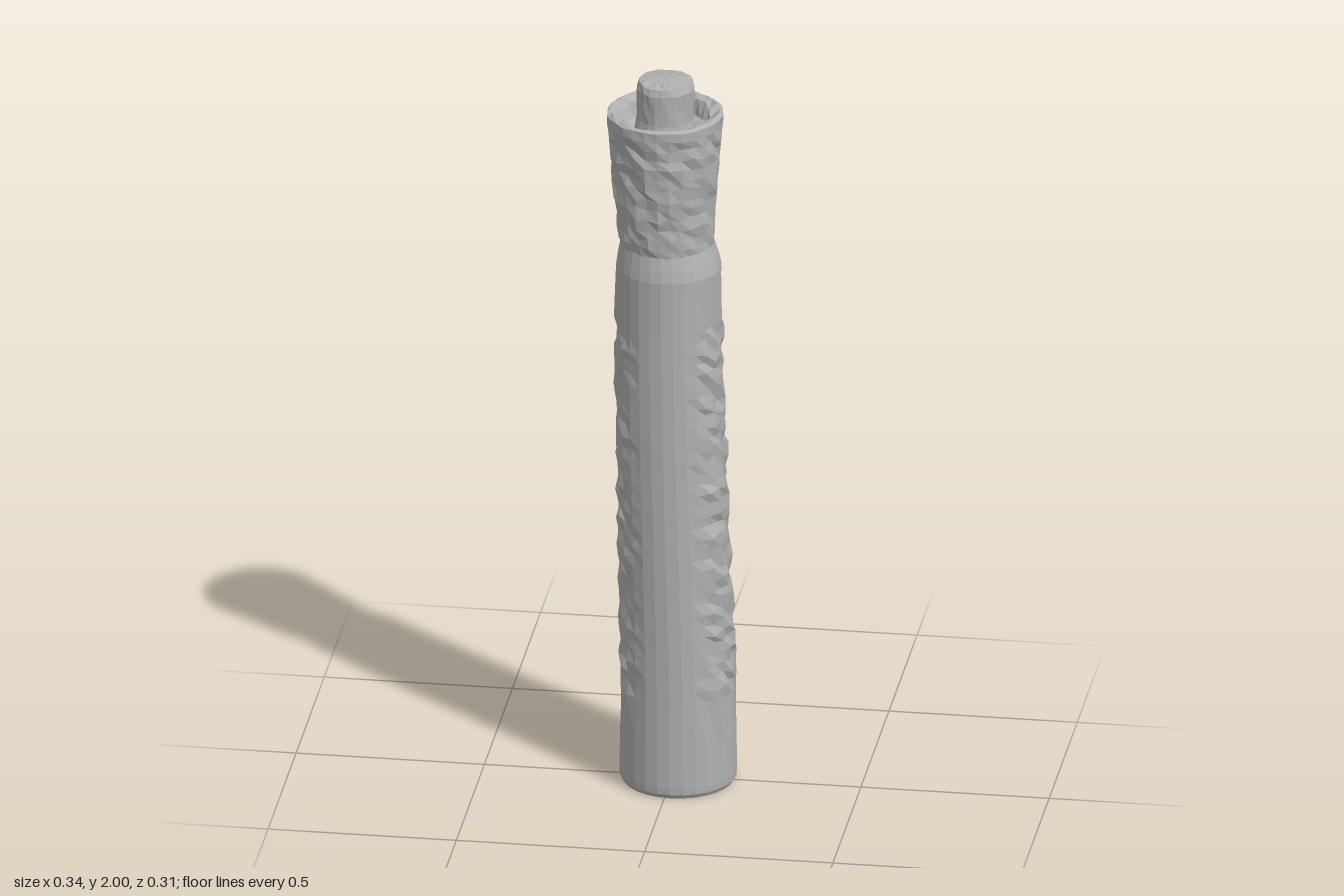
import * as THREE from 'three';

const SEGMENTS = 28;

// Repeatable value in -1..1 for a grid cell
function hash(a, b) {
  const s = Math.sin(a * 127.1 + b * 311.7) * 43758.5453;
  return 2 * (s - Math.floor(s)) - 1;
}

// The axis leans slightly from +x at the foot to -x at the top
const lean = (y) => 0.015 - 0.025 * THREE.MathUtils.smoothstep(y, 0.1, 1.35)
  - 0.01 * THREE.MathUtils.smoothstep(y, 1.45, 1.65);

// Add rows between two profile points [radius, y]
function rows(r0, y0, r1, y1, n) {
  return Array.from({ length: n }, (_, i) => {
    const t = i / n;
    return [r0 + (r1 - r0) * t, y0 + (y1 - y0) * t];
  });
}

// Faceted turned part; rough(x, y, z) gives the height of the surface bumps
function turned(name, profile, material, rough) {
  const points = profile.map(([r, y]) => new THREE.Vector2(r, y));
  const lathe = new THREE.LatheGeometry(points, SEGMENTS);
  const p = lathe.attributes.position;
  const n = profile.length;
  for (let i = 0; i < p.count; i++) {
    const row = i % n;
    const column = Math.floor(i / n) % SEGMENTS;
    const x = p.getX(i), y = p.getY(i), z = p.getZ(i);
    const r = Math.hypot(x, z);
    const amount = r > 0.001 ? rough(x / r, y, z / r, r) : 0;
    const k = r > 0.001 ? 1 + amount * hash(column, row + 0.5) / r : 1;
    const dy = amount * 1.1 * hash(column + 40, row);
    p.setXYZ(i, x * k + lean(y), y + dy, z * k);
  }
  const geometry = lathe.toNonIndexed();
  geometry.computeVertexNormals();
  const mesh = new THREE.Mesh(geometry, material);
  mesh.name = name;
  return mesh;
}

export function createModel() {
  const group = new THREE.Group();
  group.name = 'handle';
  const grey = new THREE.MeshStandardMaterial({ color: 0xb0b0b0 });
  grey.name = 'plain grey';

  // Long barrel with a hollow foot and two worn grip strips on its sides
  const barrel = [
    [0, 0.08], [0.06, 0.07], [0.11, 0.06], [0.128, 0.02], [0.135, 0.005],
    [0.147, 0], [0.154, 0.012],
    ...rows(0.155, 0.03, 0.151, 0.27, 2),
    ...rows(0.151, 0.27, 0.14, 1.32, 34),
    [0.14, 1.32], [0.139, 1.47], [0.133, 1.5], [0.123, 1.54],
  ];
  group.add(turned('barrel', barrel, grey, (x, y, z, r) => {
    if (y < 0.075 && r < 0.12) return 0.012;
    const strip = THREE.MathUtils.smoothstep(Math.abs(x), 0.5, 0.8);
    return y > 0.26 && y < 1.33 ? 0.007 * strip : 0;
  }));

  // Flared cap, roughest towards the front, with a sunken top
  const cap = [
    [0.123, 1.535],
    ...rows(0.127, 1.56, 0.152, 1.88, 11),
    [0.152, 1.88], [0.153, 1.905], [0.143, 1.91], [0.118, 1.9],
    [0.105, 1.865], [0.07, 1.855],
  ];
  group.add(turned('cap', cap, grey, (x, y, z, r) => {
    if (r < 0.13 && y > 1.84) return 0.006;
    if (y < 1.55 || y > 1.87) return 0.002;
    return 0.001 + 0.005 * THREE.MathUtils.smoothstep(z, -0.3, 0.3);
  }));

  // Round button standing in the cap
  const button = [
    [0.084, 1.85], [0.076, 1.89], [0.076, 1.93], [0.077, 1.975],
    [0.07, 1.993], [0.04, 1.997], [0, 2],
  ];
  const buttonMesh = turned('button', button, grey, () => 0.002);
  buttonMesh.position.z = -0.006;
  group.add(buttonMesh);

  return group;
}
